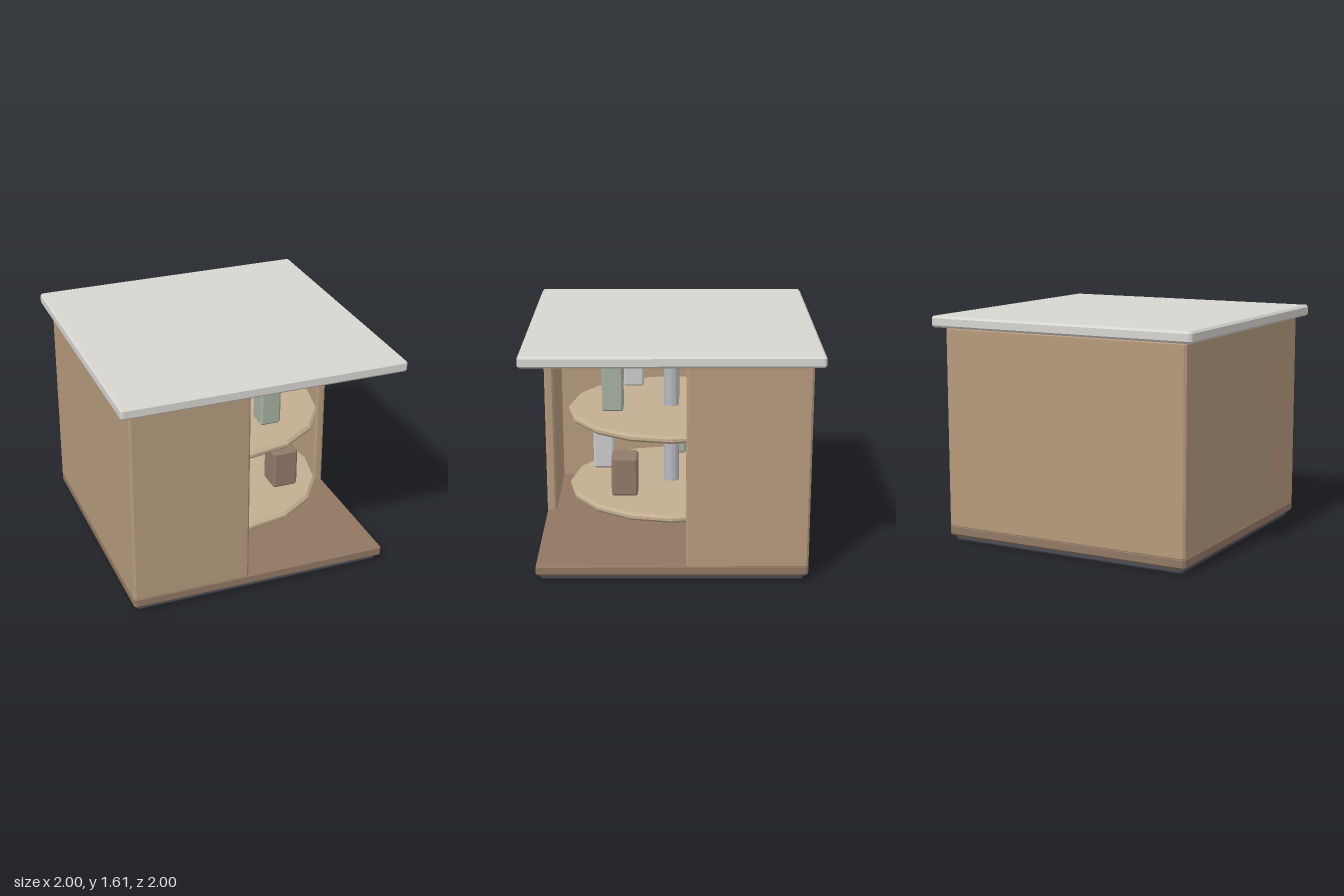
import * as THREE from 'three';
import { ConvexGeometry } from 'three/addons/geometries/ConvexGeometry.js';

const mat = (color) => new THREE.MeshStandardMaterial({ color, flatShading: true });
const WOOD = mat(0xb59a7c), FLOOR = mat(0x917763), TOP = mat(0xd6d5d0), PLINTH = mat(0x4a4d55);
const SHELF = mat(0xc3ae90), METAL = mat(0xb8bac0);
const GREEN = mat(0xa5b0a0), BLUE = mat(0x8fa5bf), WHITE = mat(0xd6d6d4), BROWN = mat(0x917a68), RED = mat(0xbf8a88);

// Box with every edge and corner cut by b
function chamferBox(w, h, d, b) {
  const half = [w / 2, h / 2, d / 2], pts = [];
  for (let axis = 0; axis < 3; axis++)
    for (const sx of [-1, 1]) for (const sy of [-1, 1]) for (const sz of [-1, 1]) {
      const s = [sx, sy, sz];
      pts.push(new THREE.Vector3(...half.map((v, i) => s[i] * (i === axis ? v : v - b))));
    }
  return new ConvexGeometry(pts);
}

// Upright round piece with chamfered rims, standing on y = 0
function chamferDisc(r, h, b, sides) {
  const profile = [[0, 0], [r - b, 0], [r, b], [r, h - b], [r - b, h], [0, h]];
  return new THREE.LatheGeometry(profile.map(([x, y]) => new THREE.Vector2(x, y)), sides);
}

export function createModel() {
  const model = new THREE.Group();
  const add = (name, geometry, material, x, y, z, parent = model) => {
    const mesh = new THREE.Mesh(geometry, material);
    mesh.name = name;
    mesh.position.set(x, y, z);
    parent.add(mesh);
    return mesh;
  };
  // Box given by its limits on each axis
  const block = (name, material, [x0, x1], [y0, y1], [z0, z1], b = 0.015) =>
    add(name, chamferBox(x1 - x0, y1 - y0, z1 - z0, b), material, (x0 + x1) / 2, (y0 + y1) / 2, (z0 + z1) / 2);

  // Plinth, cabinet floor and countertop
  block('plinth', PLINTH, [-0.9, 0.9], [0, 0.06], [-0.9, 0.9]);
  block('cabinetFloor', FLOOR, [-0.93, 0.93], [0.04, 0.12], [-0.93, 0.93]);
  block('countertop', TOP, [-1, 1], [1.53, 1.61], [-1, 1]);

  // Walls: two full, two stopping short to leave the corner open
  const wallY = [0.1, 1.53], full = [-0.93, 0.93], short = [-0.93, -0.095];
  block('backWall', WOOD, full, wallY, [-0.93, -0.86]);
  block('rightWall', WOOD, [-0.93, -0.86], wallY, full);
  block('frontWall', WOOD, short, wallY, [0.86, 0.93]);
  block('leftWall', WOOD, [0.86, 0.93], wallY, short);

  // Turning carousel: pole and two round shelves
  const carousel = new THREE.Group();
  carousel.name = 'carousel';
  model.add(carousel);
  add('pole', chamferDisc(0.055, 1.39, 0.015, 12), METAL, 0, 0.145, 0, carousel);
  for (const y of [0.35, 0.925])
    add('shelf', chamferDisc(0.745, 0.055, 0.018, 16), SHELF, 0, y, 0, carousel);

  // Stored packages: material, x, z, bottom, width, height
  const packages = [
    [RED, 0.478, -0.19, 0.45, 0.18, 0.335],
    [BROWN, 0.388, 0.33, 0.45, 0.185, 0.285],
    [WHITE, -0.18, 0.5, 0.45, 0.155, 0.3],
    [GREEN, -0.51, -0.03, 0.45, 0.165, 0.37],
    [BLUE, -0.14, -0.49, 0.45, 0.17, 0.27],
    [GREEN, 0.235, 0.415, 1.02, 0.15, 0.355],
    [WHITE, -0.39, 0.28, 1.02, 0.15, 0.335],
    [BROWN, -0.33, -0.36, 1.02, 0.15, 0.33],
    [BLUE, 0.29, -0.38, 1.02, 0.15, 0.32],
  ];
  for (const [material, x, z, bottom, w, h] of packages)
    add('package', chamferBox(w, h, w, 0.015), material, x, bottom + h / 2, z, carousel);

  return model;
}
